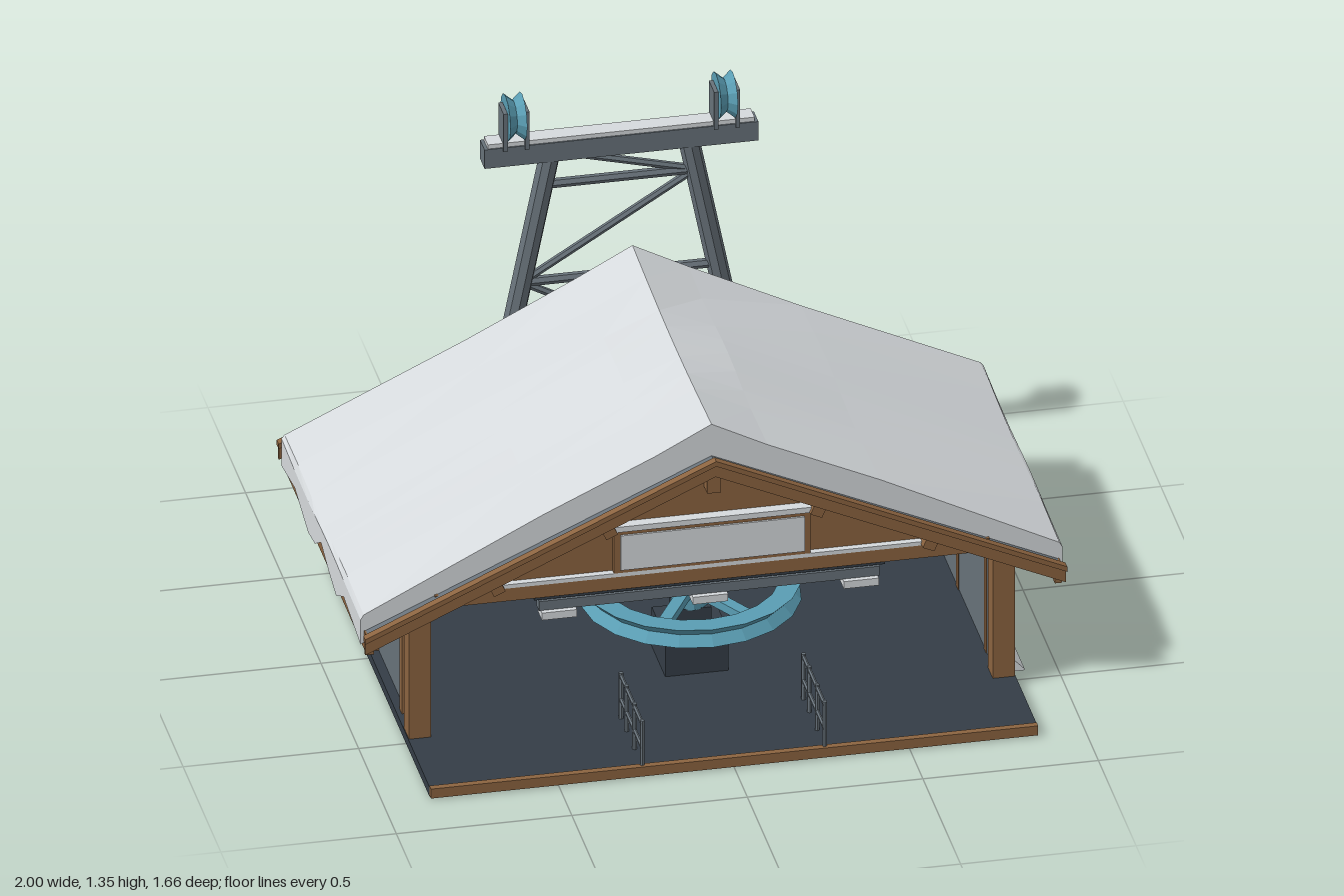
import * as THREE from 'three';

const mat = (name, color) => Object.assign(new THREE.MeshStandardMaterial({ color, flatShading: true }), { name });
const wood = mat('timber', 0x8c6440);
const snow = mat('snow', 0xd6dadd);
const steel = mat('grey steel', 0x68727a);
const dark = mat('dark slate', 0x343d46);
const teal = mat('teal paint', 0x5a9db3);

// Solid lofted along z; each section has matching bottom and top points, left to right
function loft(sections) {
  const pos = [], idx = [], n = sections[0].bottom.length, m = 2 * n;
  for (const s of sections)
    for (const [x, y] of [...s.bottom, ...[...s.top].reverse()]) pos.push(x, y, s.z);
  const quad = (a, b, c, d) => idx.push(a, b, c, a, c, d);
  const last = (sections.length - 1) * m;
  for (let i = 0; i < sections.length - 1; i++)
    for (let j = 0; j < m; j++) {
      const k = (j + 1) % m;
      quad(i * m + j, i * m + k, (i + 1) * m + k, (i + 1) * m + j);
    }
  for (let i = 0; i < n - 1; i++) {
    quad(last + i, last + i + 1, last + m - 2 - i, last + m - 1 - i);
    quad(m - 1 - i, m - 2 - i, i + 1, i);
  }
  const g = new THREE.BufferGeometry();
  g.setAttribute('position', new THREE.Float32BufferAttribute(pos, 3));
  g.setIndex(idx);
  const flat = g.toNonIndexed();
  flat.computeVertexNormals();
  return flat;
}

// Roof-shaped chevron prism between z0 and z1
function chevron(half, ridge, eave, thick, z0, z1) {
  const top = [[-half, eave], [0, ridge], [half, eave]];
  const bottom = top.map(([x, y]) => [x, y - thick]);
  return loft([{ z: z0, bottom, top }, { z: z1, bottom, top }]);
}

function lathe(points, sides) {
  return new THREE.LatheGeometry(points.map(([r, y]) => new THREE.Vector2(r, y)), sides);
}

export function createModel() {
  const root = new THREE.Group();
  root.name = 'liftStation';
  const group = (name) => {
    const g = new THREE.Group();
    g.name = name;
    root.add(g);
    return g;
  };
  const add = (parent, name, geo, material, x = 0, y = 0, z = 0) => {
    const m = new THREE.Mesh(geo, material);
    m.name = name;
    m.position.set(x, y, z);
    parent.add(m);
    return m;
  };
  // Box given by its limits
  const box = (parent, name, material, x0, x1, y0, y1, z0, z1) =>
    add(parent, name, new THREE.BoxGeometry(x1 - x0, y1 - y0, z1 - z0), material,
      (x0 + x1) / 2, (y0 + y1) / 2, (z0 + z1) / 2);
  // Round bar between two points
  const bar = (parent, name, material, a, b, r, sides = 6) => {
    const p = new THREE.Vector3(...a), q = new THREE.Vector3(...b);
    const d = q.clone().sub(p);
    const m = add(parent, name, new THREE.CylinderGeometry(r, r, d.length(), sides), material);
    m.position.copy(p).add(q).multiplyScalar(0.5);
    m.quaternion.setFromUnitVectors(new THREE.Vector3(0, 1, 0), d.normalize());
    return m;
  };

  // Platform
  const base = group('platform');
  box(base, 'floor', dark, -0.865, 0.865, 0, 0.03, -0.53, 0.81);
  box(base, 'frontEdge', wood, -0.865, 0.865, 0.004, 0.034, 0.81, 0.83);

  // Side walls with posts, studs and windows
  const walls = group('walls');
  for (const s of [-1, 1]) {
    const side = (name, material, a, b, y0, y1, z0, z1) =>
      box(walls, name, material, Math.min(s * a, s * b), Math.max(s * a, s * b), y0, y1, z0, z1);
    side('sideWall', steel, 0.815, 0.838, 0.03, 0.43, -0.47, 0.47);
    side('wallPlate', wood, 0.805, 0.85, 0.39, 0.425, -0.53, 0.53);
    for (const z of [-0.4975, 0.4975]) side('cornerPost', wood, 0.8, 0.863, 0.03, 0.44, z - 0.033, z + 0.033);
    for (const z of [-0.37, 0, 0.37]) side('stud', wood, 0.812, 0.852, 0.03, 0.42, z - 0.014, z + 0.014);
    for (const z of [-0.15, 0.15]) side('window', dark, 0.838, 0.846, 0.24, 0.37, z - 0.093, z + 0.093);
  }

  // Gables, tie beams and bargeboards at both ends
  const gables = group('gables');
  for (const s of [-1, 1]) {
    const at = (a, b) => [Math.min(s * a, s * b), Math.max(s * a, s * b)];
    const tri = new THREE.Shape([[-0.79, 0.44], [0.79, 0.44], [0, 0.79]].map(p => new THREE.Vector2(...p)));
    add(gables, 'gableWall', new THREE.ExtrudeGeometry(tri, { depth: 0.025, bevelEnabled: false }), wood,
      0, 0, at(0.49, 0.515)[0]);
    box(gables, 'tieBeam', wood, -0.79, 0.79, 0.44, 0.48, ...at(0.475, 0.535));
    box(gables, 'beamSnow', snow, -0.74, 0.74, 0.479, 0.492, ...at(0.5, 0.535));
    add(gables, 'bargeboard', chevron(0.998, 0.842, 0.39, 0.05, ...at(0.567, 0.58)), wood);
    add(gables, 'bargeTrim', chevron(1, 0.845, 0.393, 0.016, ...at(0.562, 0.587)), wood);
  }

  // Blank board on the front gable
  const board = group('frontBoard');
  box(board, 'boardFrame', wood, -0.28, 0.28, 0.49, 0.63, 0.515, 0.535);
  box(board, 'boardFace', snow, -0.262, 0.262, 0.503, 0.613, 0.535, 0.541);
  box(board, 'boardSnow', snow, -0.28, 0.28, 0.628, 0.645, 0.512, 0.547);

  // Roof deck, purlins and eave boards
  const roof = group('roof');
  add(roof, 'roofDeck', chevron(0.985, 0.83, 0.388, 0.035, -0.567, 0.567), steel);
  for (const s of [-1, 1]) {
    for (const x of [0.3, 0.62]) {
      const y = 0.795 - 0.449 * x;
      const p = box(roof, 'purlin', wood, s * x - 0.018, s * x + 0.018, y - 0.04, y + 0.006, -0.56, 0.56);
      p.rotation.z = -s * 0.42;
    }
    box(roof, 'eaveBoard', wood, s * 0.98 - 0.01, s * 0.98 + 0.01, 0.33, 0.388, -0.562, 0.562);
  }
  box(roof, 'ridgeBeam', wood, -0.02, 0.02, 0.73, 0.79, -0.56, 0.56);

  // Snow blanket with a sagging ridge and a scalloped lip at the eaves
  const rows = [-0.525, -0.35, -0.17, -0.08, 0, 0.1, 0.2, 0.3, 0.525];
  const lip = [0.345, 0.37, 0.325, 0.338, 0.385, 0.35, 0.325, 0.375, 0.345];
  const profile = [[0, 0.93], [0.16, 0.845], [0.48, 0.69], [0.985, 0.44], [1, 0.427]];
  const blanket = rows.map((z, i) => {
    const half = profile.map(([x, y], k) => {
      const wave = k === 0 ? -0.016 * Math.cos(z * 3) : 0.008 * Math.sin(z * 9 + k * 1.7);
      return { x, top: y + wave * (k > 2 ? 0.6 : 1), bottom: k === 4 ? lip[i] : 0.828 - 0.449 * x };
    });
    half[3].x = 0.991;
    half[3].bottom = lip[i] + 0.005;
    const all = [...half.slice(1).reverse().map(p => ({ ...p, x: -p.x })), ...half];
    return { z, top: all.map(p => [p.x, p.top]), bottom: all.map(p => [p.x, p.bottom]) };
  });
  add(roof, 'roofSnow', loft(blanket), snow);

  // Snow drift against one wall
  const drift = [[-0.53, 0.055], [-0.3, 0.085], [-0.02, 0.125], [0.15, 0.09], [0.45, 0.06]];
  add(root, 'snowDrift', loft(drift.map(([z, h]) => ({
    z, bottom: [[0.835, 0], [0.908, 0]], top: [[0.855, h], [0.908, 0.004]],
  }))), snow);

  // Drive wheel on its pedestal
  const drive = group('driveWheel');
  drive.position.z = 0.24;
  box(drive, 'pedestal', dark, -0.09, 0.09, 0.03, 0.155, -0.09, 0.09);
  box(drive, 'gearbox', dark, -0.05, 0.05, 0.155, 0.215, -0.05, 0.05);
  add(drive, 'wheelRim', lathe([[0.25, -0.028], [0.312, -0.028], [0.285, 0], [0.312, 0.028], [0.25, 0.028], [0.25, -0.028]], 20),
    teal, 0, 0.262);
  for (let i = 0; i < 3; i++)
    add(drive, 'spoke', new THREE.BoxGeometry(0.52, 0.026, 0.035), teal, 0, 0.262).rotation.y = i * Math.PI / 3;
  add(drive, 'hub', new THREE.CylinderGeometry(0.055, 0.055, 0.1, 12), teal, 0, 0.262);
  add(drive, 'hubCap', new THREE.CylinderGeometry(0.07, 0.07, 0.025, 12), teal, 0, 0.302);

  // Hanging frame with lamps
  const frame = group('lampFrame');
  box(frame, 'lampBeam', steel, -0.485, 0.485, 0.375, 0.405, 0.46, 0.495);
  box(frame, 'cableTray', dark, -0.5, 0.5, 0.413, 0.42, 0.455, 0.5);
  for (const x of [-0.43, 0, 0.43]) {
    box(frame, 'lamp', snow, x - 0.05, x + 0.05, 0.353, 0.376, 0.46, 0.51);
    for (const d of [-0.035, 0.035]) box(frame, 'hanger', steel, x + d - 0.006, x + d + 0.006, 0.4, 0.45, 0.472, 0.484);
  }

  // Queue railings
  const rails = group('railings');
  for (const x of [-0.26, 0.26]) {
    for (const z of [0.815, 0.715, 0.61, 0.535]) bar(rails, 'railPost', steel, [x, 0.03, z], [x, 0.175, z], 0.007);
    for (const y of [0.09, 0.165]) bar(rails, 'rail', steel, [x, y, 0.53], [x, y, 0.82], 0.006);
  }

  // Tower with lattice bracing
  const tower = group('tower');
  tower.position.z = -0.7;
  const legX = y => 0.428 - 0.2 * y;
  for (const s of [-1, 1]) {
    box(tower, 'footing', steel, s * 0.425 - 0.065, s * 0.425 + 0.065, 0, 0.04, -0.13, 0.13);
    bar(tower, 'leg', steel, [s * legX(0.03), 0.03, 0], [s * legX(1.18), 1.18, 0], 0.03, 8);
  }
  for (const y of [0.41, 0.75, 1.055]) bar(tower, 'crossBrace', steel, [-legX(y), y, 0], [legX(y), y, 0], 0.014);
  const zigzag = [0.09, 0.41, 0.75, 1.055, 1.16].map((y, i) => [(i % 2 ? 1 : -1) * legX(y), y, 0]);
  for (let i = 0; i < 4; i++) bar(tower, 'diagonalBrace', steel, zigzag[i], zigzag[i + 1], 0.011);
  box(tower, 'crossArm', steel, -0.39, 0.39, 1.14, 1.2, -0.03, 0.03);
  box(tower, 'armSnow', snow, -0.38, 0.38, 1.199, 1.213, -0.026, 0.026);

  // Grooved sheaves in brackets
  for (const s of [-1, 1]) {
    const sheave = lathe([[0.001, -0.024], [0.068, -0.024], [0.048, 0], [0.068, 0.024], [0.001, 0.024]], 12);
    add(tower, 'sheave', sheave, teal, s * 0.3, 1.28, 0).rotation.z = Math.PI / 2;
    for (const d of [-0.031, 0.031])
      box(tower, 'sheaveBracket', steel, s * 0.3 + d - 0.006, s * 0.3 + d + 0.006, 1.19, 1.31, -0.035, 0.035);
  }
  return root;
}
